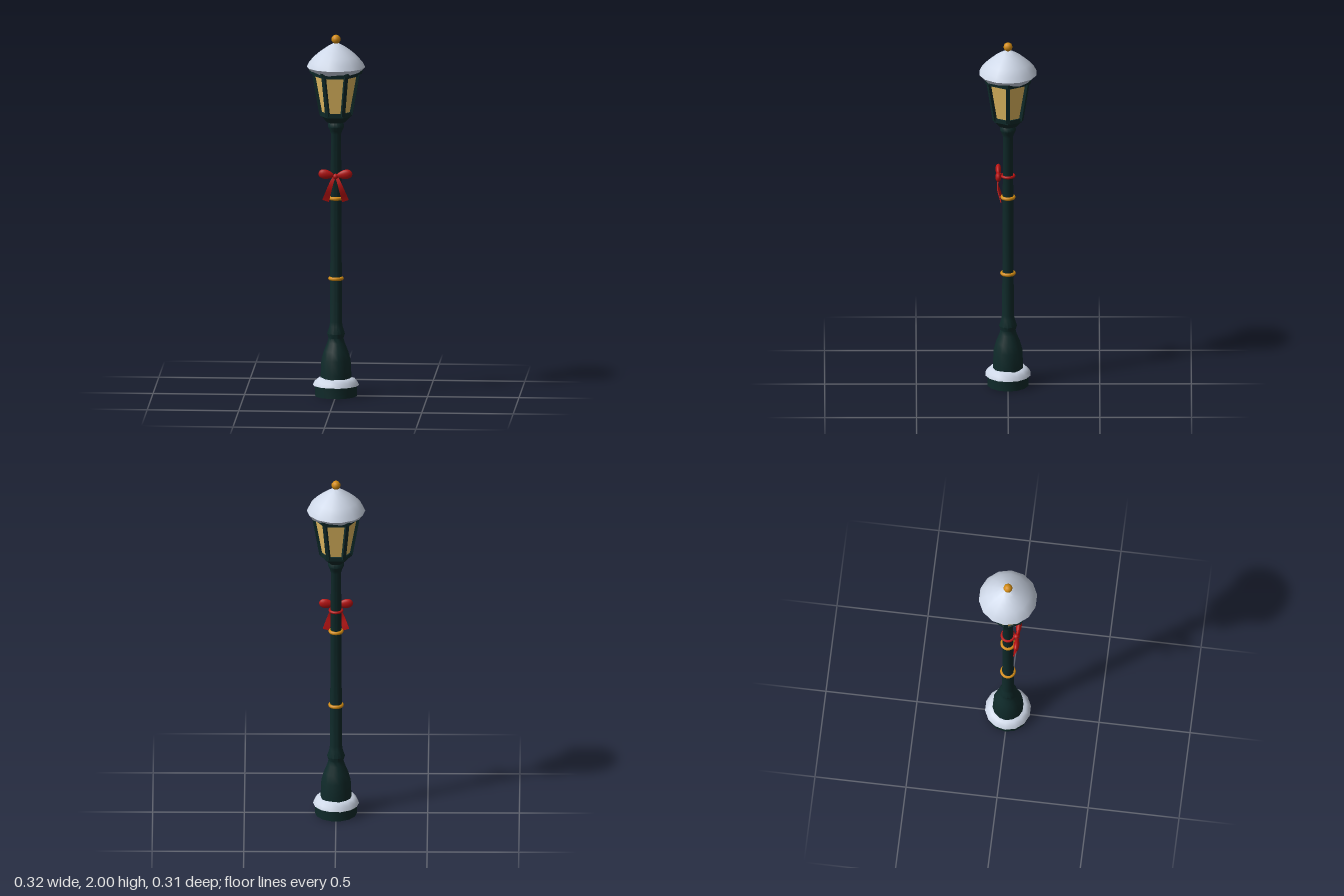
import * as THREE from 'three';
import { toCreasedNormals } from 'three/addons/utils/BufferGeometryUtils.js';

const mat = (name, color) => new THREE.MeshStandardMaterial({ name, color });

export function createModel() {
  const green = mat('dark green iron', 0x0f2a2a);
  const snow = mat('snow', 0xdce6f7);
  const gold = mat('gold', 0xd48c12);
  const red = mat('red ribbon', 0xb81212);
  const glass = mat('warm glass', 0xf3c868);

  const model = new THREE.Group();
  model.name = 'streetLamp';
  const add = (name, geo, material, x = 0, y = 0, z = 0, parent = model) => {
    const m = new THREE.Mesh(geo, material);
    m.name = name;
    m.position.set(x, y, z);
    parent.add(m);
    return m;
  };
  const lathe = (pts, seg) =>
    new THREE.LatheGeometry(pts.map(p => new THREE.Vector2(...p)), seg).rotateY(Math.PI / 2);
  // six-sided tapered drum with corners on the x axis
  const hex = (rTop, rBottom, y0, y1, open = false) =>
    toCreasedNormals(new THREE.CylinderGeometry(rTop, rBottom, y1 - y0, 6, 1, open)
      .rotateY(Math.PI / 6).translate(0, (y0 + y1) / 2, 0), 0.4);
  // small uneven drift along a snow rim
  const drift = (geo, yMin, yMax, amount) => {
    const p = geo.attributes.position;
    for (let i = 0; i < p.count; i++) {
      const y = p.getY(i);
      if (y < yMin || y > yMax) continue;
      const a = Math.atan2(p.getZ(i), p.getX(i));
      p.setY(i, y + amount * (Math.sin(a * 5 + 1) * 0.6 + Math.sin(a * 3) * 0.4));
    }
    geo.computeVertexNormals();
    return toCreasedNormals(geo, 0.9);
  };

  // Post: plinth, bell-shaped foot, shaft and neck
  add('plinth', toCreasedNormals(lathe([[0, 0], [0.115, 0], [0.115, 0.07], [0.08, 0.075]], 14), 0.6), green);
  add('post', toCreasedNormals(lathe([
    [0.086, 0.06], [0.084, 0.12], [0.08, 0.2], [0.066, 0.25], [0.048, 0.295], [0.041, 0.32],
    [0.049, 0.345], [0.036, 0.385], [0.033, 0.41], [0.028, 1.45],
    [0.034, 1.47], [0.044, 1.49], [0.042, 1.51], [0.032, 1.525], [0, 1.53],
  ], 14), 0.7), green);
  add('baseSnow', drift(lathe([
    [0.08, 0.06], [0.126, 0.06], [0.118, 0.08], [0.1, 0.098], [0.08, 0.102],
  ], 14), 0.09, 0.11, 0.004), snow);

  // Gold collars
  for (const [y, r] of [[0.65, 0.033], [1.095, 0.032]])
    add('collar', new THREE.TorusGeometry(r, 0.01, 8, 20).rotateX(Math.PI / 2), gold, 0, y, 0);

  // Lantern
  const lantern = new THREE.Group();
  lantern.name = 'lantern';
  model.add(lantern);
  const part = (name, geo, material) => add(name, geo, material, 0, 0, 0, lantern);
  part('lanternCup', hex(0.086, 0.05, 1.515, 1.555), green);
  part('lowerRail', hex(0.09, 0.088, 1.55, 1.574), green);
  part('panes', hex(0.12, 0.081, 1.57, 1.785, true), glass);
  part('upperRail', hex(0.128, 0.126, 1.772, 1.79), green);
  part('eave', hex(0.146, 0.142, 1.785, 1.805), green);
  part('roof', hex(0.02, 0.143, 1.805, 1.92), green);
  for (let i = 0; i < 6; i++) {
    const a = i * Math.PI / 3;
    const bottom = new THREE.Vector3(Math.cos(a) * 0.081, 1.56, Math.sin(a) * 0.081);
    const top = new THREE.Vector3(Math.cos(a) * 0.12, 1.785, Math.sin(a) * 0.12);
    const bar = part('cornerBar', new THREE.BoxGeometry(0.02, bottom.distanceTo(top), 0.02), green);
    const holder = new THREE.Group();
    holder.name = 'cornerBarMount';
    holder.rotation.y = -a;
    bar.position.set(0.1005, 1.6725, 0);
    bar.rotation.z = -Math.atan2(0.039, 0.225);
    holder.add(bar);
    lantern.add(holder);
  }

  // Snow cap and finial
  part('capSnow', drift(lathe([
    [0.11, 1.812], [0.138, 1.797], [0.16, 1.822], [0.146, 1.85], [0.118, 1.882],
    [0.082, 1.912], [0.045, 1.937], [0.018, 1.952], [0, 1.955],
  ], 14), 1.79, 1.815, 0.007), snow);
  part('finial', new THREE.SphereGeometry(0.025, 10, 8), gold).position.y = 1.975;

  // Ribbon bow on the front of the shaft
  const bow = new THREE.Group();
  bow.name = 'bow';
  model.add(bow);
  add('bowBand', new THREE.TorusGeometry(0.033, 0.008, 8, 20).rotateX(Math.PI / 2), red, 0, 1.22, 0, bow);
  add('bowKnot', new THREE.SphereGeometry(0.016, 12, 8), red, 0, 1.222, 0.046, bow);
  for (const s of [-1, 1]) {
    // puffed loop, narrowing towards the knot
    const loop = new THREE.SphereGeometry(1, 16, 12);
    const p = loop.attributes.position;
    for (let i = 0; i < p.count; i++) {
      const k = 0.82 + 0.22 * p.getX(i) * s;
      p.setXYZ(i, p.getX(i) * 0.043, p.getY(i) * 0.031 * k, p.getZ(i) * 0.019 * k);
    }
    loop.computeVertexNormals();
    add('bowLoop', loop, red, s * 0.05, 1.235, 0.053, bow).rotation.z = s * 0.15;

    // hanging tail, widening and waving downwards
    const tail = new THREE.BoxGeometry(1, 1, 0.006, 1, 10, 1);
    const q = tail.attributes.position;
    for (let i = 0; i < q.count; i++) {
      const t = 0.5 - q.getY(i);
      const u = q.getX(i);
      q.setXYZ(i,
        s * 0.008 + s * 0.046 * Math.pow(t, 0.85) + u * (0.018 + 0.018 * t),
        1.218 - 0.132 * t + u * s * 0.012 * t,
        q.getZ(i) + 0.048 + 0.01 * Math.sin(t * 4.2));
    }
    add('bowTail', toCreasedNormals(tail, 0.6), red, 0, 0, 0, bow);
  }
  return model;
}
